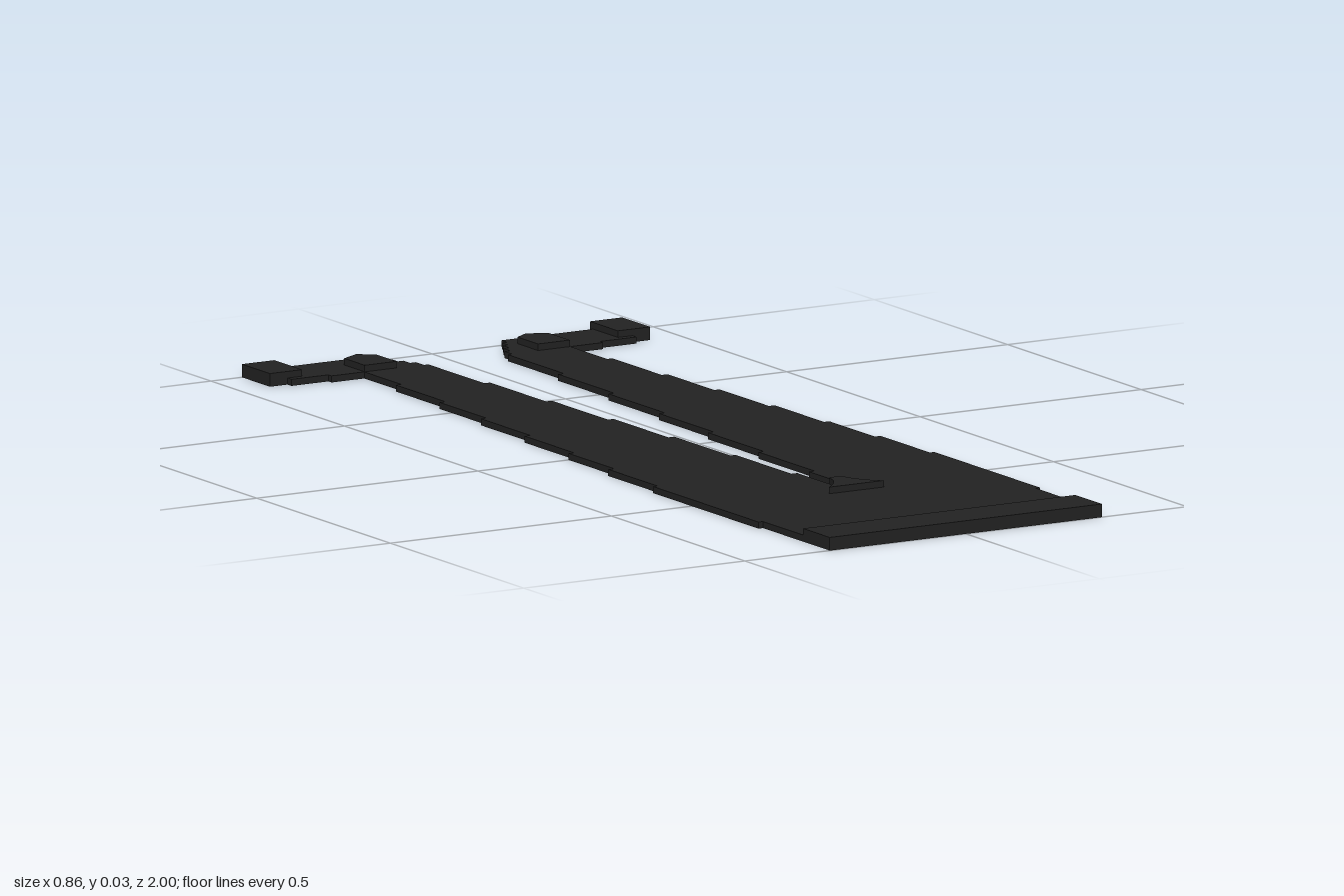
import * as THREE from 'three';

const BASE = 0.013, RAISED = 0.026;

// Extrude an outline of [x, z] points upward from the ground
function slab(name, points, height, material) {
  const shape = new THREE.Shape(points.map(([x, z]) => new THREE.Vector2(x, -z)));
  const geometry = new THREE.ExtrudeGeometry(shape, { depth: height, bevelEnabled: false });
  geometry.rotateX(-Math.PI / 2);
  const mesh = new THREE.Mesh(geometry, material);
  mesh.name = name;
  return mesh;
}

// Turn [x, zEnd] steps into a staircase edge starting at zStart
function stairs(zStart, steps) {
  const points = [];
  let z = zStart;
  for (const [x, zEnd] of steps) {
    points.push([x, z], [x, zEnd]);
    z = zEnd;
  }
  return points;
}

const rect = (x0, x1, z0, z1) => [[x0, z0], [x1, z0], [x1, z1], [x0, z1]];
const mirror = (points) => points.map(([x, z]) => [-x, z]).reverse();

export function createModel() {
  const group = new THREE.Group();
  group.name = 'trousers';
  const cloth = new THREE.MeshStandardMaterial({ color: 0x222222 });
  cloth.name = 'black cloth';

  // Stepped inner leg, from the crotch back to the ankle
  const inner = stairs(0.51, [
    [0.013, 0.39], [0.026, 0.18], [0.038, -0.03], [0.051, -0.235], [0.064, -0.445],
    [0.077, -0.655], [0.09, -0.865], [0.1, -0.895], [0.113, -0.92], [0.126, -0.943],
    [0.138, -0.967], [0.15, -0.988],
  ]);
  // Foot and its stepped front edge
  const foot = [[0.39, -0.988], [0.39, -0.88], [0.307, -0.88], [0.307, -0.868]];
  // Stepped outer leg, from the ankle forward to the waist
  const outer = stairs(-0.868, [
    [0.233, -0.73], [0.245, -0.545], [0.258, -0.37], [0.27, -0.185], [0.283, 0],
    [0.295, 0.17], [0.308, 0.355], [0.318, 0.75], [0.308, 1],
  ]);
  const half = [...inner, ...foot, ...outer];
  group.add(slab('legs', [...half, ...mirror(half)], BASE, cloth));

  // Raised waistband
  group.add(slab('waistband', rect(-0.308, 0.308, 0.9, 1), RAISED, cloth));

  // Raised crotch gusset with flared sides
  const gusset = [[0.013, 0.51], [0.022, 0.54], [0.038, 0.566], [0.062, 0.59]];
  group.add(slab('crotchGusset', [...gusset, ...mirror(gusset)], RAISED, cloth));

  // Raised ankle patches and toe blocks on both sides
  const ankle = [[0.16, -0.945], [0.192, -0.967], [0.232, -0.945], [0.232, -0.868], [0.16, -0.868]];
  const toe = rect(0.357, 0.43, -1, -0.895);
  for (const [side, place] of [['left', (p) => p], ['right', mirror]]) {
    group.add(slab(side + 'Ankle', place(ankle), RAISED, cloth));
    group.add(slab(side + 'Toe', place(toe), RAISED, cloth));
  }
  return group;
}
